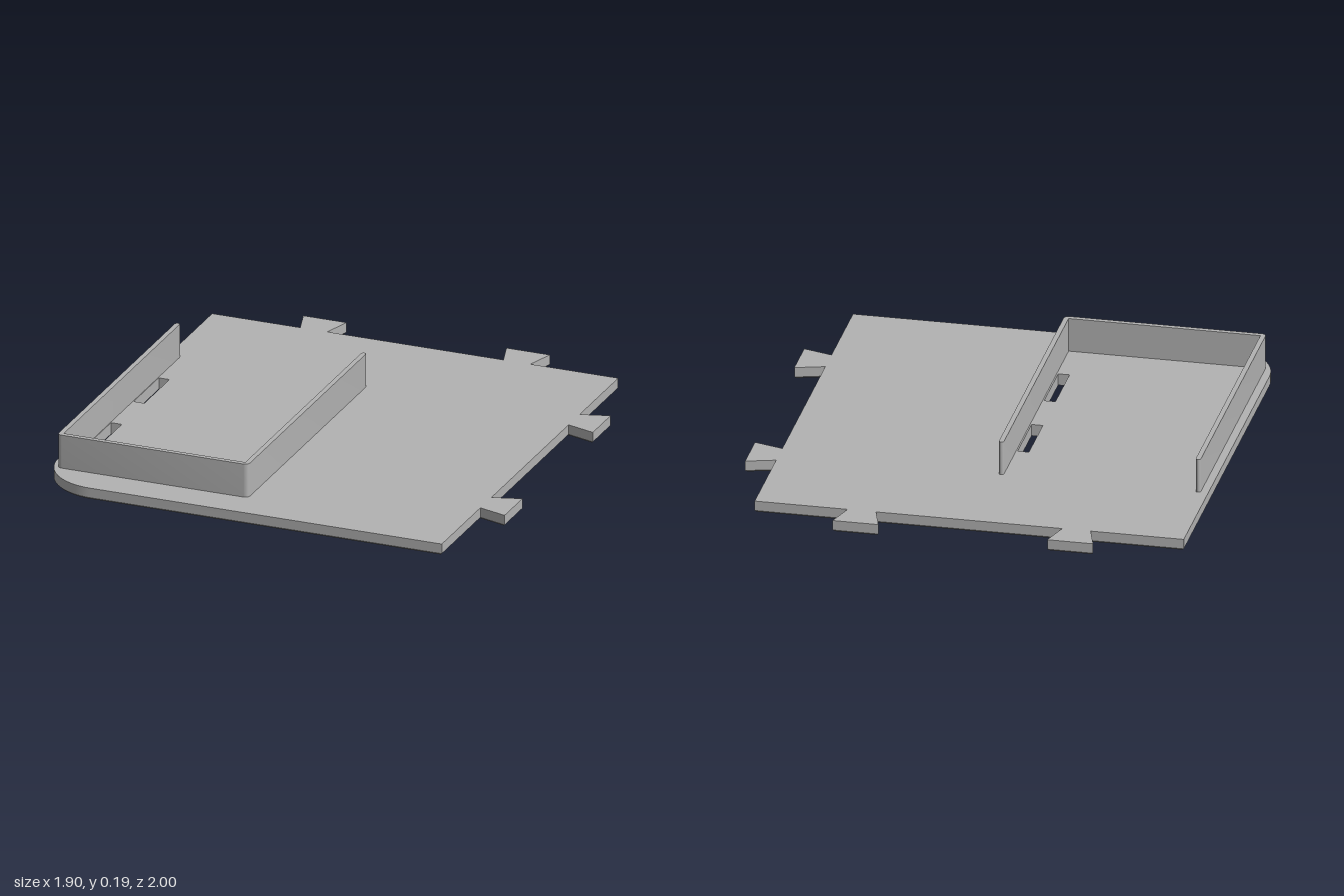
import * as THREE from 'three';
import { mergeGeometries, toCreasedNormals } from 'three/addons/utils/BufferGeometryUtils.js';

const TOP = 0.05, GROOVE = 0.025, CHAMFER = 0.008, WALL_TOP = 0.195;
const P = (x, z) => new THREE.Vector2(x, -z); // plan position; shapes are drawn with v = -z

const rect = (x0, x1, z0, z1) => [P(x0, z1), P(x1, z1), P(x1, z0), P(x0, z0)];

// Quarter-circle (or other) arc in plan, counter-clockwise seen from above
function arc(x, z, r, a0, a1, n) {
  return Array.from({ length: n + 1 }, (_, i) => {
    const a = a0 + (a1 - a0) * i / n;
    return P(x + r * Math.cos(a), z - r * Math.sin(a));
  });
}

// Moves every edge of a counter-clockwise loop inward by d
function inset(loop, d) {
  return loop.map((p, i) => {
    const e1 = p.clone().sub(loop.at(i - 1)).normalize();
    const e2 = loop[(i + 1) % loop.length].clone().sub(p).normalize();
    const n1 = new THREE.Vector2(-e1.y, e1.x), n2 = new THREE.Vector2(-e2.y, e2.x);
    return n1.clone().add(n2).multiplyScalar(d / (1 + n1.dot(n2))).add(p);
  });
}

// Band of side faces between two loops
function band(low, y0, high, y1) {
  const v = [];
  low.forEach((a, i) => {
    const j = (i + 1) % low.length, b = low[j], c = high[j], d = high[i];
    v.push(a.x, y0, -a.y, b.x, y0, -b.y, c.x, y1, -c.y);
    v.push(a.x, y0, -a.y, c.x, y1, -c.y, d.x, y1, -d.y);
  });
  return new THREE.BufferGeometry().setAttribute('position', new THREE.Float32BufferAttribute(v, 3));
}

// Flat face with holes, facing up or down
function cap(loop, holes, y, up) {
  const shape = new THREE.Shape(loop);
  holes.forEach(h => shape.holes.push(new THREE.Path(h)));
  const g = new THREE.ShapeGeometry(shape).rotateX(-Math.PI / 2).translate(0, y, 0);
  if (!up) g.index.array.reverse();
  const flat = g.toNonIndexed();
  flat.deleteAttribute('normal');
  flat.deleteAttribute('uv');
  return flat;
}

function plateGeometry() {
  const X0 = -0.952, X1 = 0.827, Z0 = -0.88, Z1 = 1, NECK = 0.059, TIP = 0.095;
  // Outline with dovetail tabs on the right and back edges
  const outline = [P(X1, Z1)];
  for (const z of [0.53, -0.41]) {
    outline.push(P(X1, z + NECK), P(0.948, z + TIP), P(0.948, z - TIP), P(X1, z - NECK));
  }
  outline.push(P(X1, Z0));
  for (const x of [0.383, -0.507]) {
    outline.push(P(x + NECK, Z0), P(x + TIP, -1), P(x - TIP, -1), P(x - NECK, Z0));
  }
  outline.push(P(X0, Z0), ...arc(X0 + 0.24, Z1 - 0.24, 0.24, Math.PI, Math.PI * 1.5, 16));

  const foot = inset(outline, CHAMFER);
  const parts = [band(foot, 0, outline, CHAMFER), band(outline, CHAMFER, outline, TOP)];

  // Strap slots, joined in pairs by grooves on the underside
  const slots = [], grooves = [];
  for (const [z0, z1] of [[-0.175, 0.093], [0.333, 0.602]]) {
    slots.push(rect(-0.896, -0.849, z0, z1), rect(-0.157, -0.11, z0, z1));
    grooves.push(rect(-0.896, -0.11, z0, z1));
    parts.push(cap(rect(-0.849, -0.157, z0, z1), [], GROOVE, false));
  }
  for (const s of slots) {
    const r = [...s].reverse();
    parts.push(band(r, GROOVE, r, TOP));
  }
  for (const g of grooves) {
    const r = [...g].reverse();
    parts.push(band(r, 0, r, GROOVE));
  }
  parts.push(cap(outline, slots, TOP, true), cap(foot, grooves, 0, false));
  return toCreasedNormals(mergeGeometries(parts), 0.5);
}

// U-shaped wall, open at the back, with rounded ends and corners
function wallGeometry() {
  const L = -0.92, R = -0.083, B = -0.415, F = 0.85, T = 0.021, r = 0.02, e = T / 2, h = Math.PI / 2;
  const loop = [
    ...arc(L + r, F - r, r, 2 * h, 3 * h, 6),
    ...arc(R - r, F - r, r, 3 * h, 4 * h, 6),
    ...arc(R - e, B + e, e, 0, 2 * h, 8),
    P(R - T, F - T), P(L + T, F - T),
    ...arc(L + e, B + e, e, 0, 2 * h, 8),
  ];
  const g = new THREE.ExtrudeGeometry(new THREE.Shape(loop), { depth: WALL_TOP - TOP, bevelEnabled: false });
  return toCreasedNormals(g.rotateX(-Math.PI / 2).translate(0, TOP, 0), 0.5);
}

export function createModel() {
  const gray = new THREE.MeshStandardMaterial({ color: 0xb3b3b3 });
  gray.name = 'gray';
  const group = new THREE.Group();
  group.name = 'dovetailTray';
  for (const [name, geometry] of [['basePlate', plateGeometry()], ['retainingWall', wallGeometry()]]) {
    const mesh = new THREE.Mesh(geometry, gray);
    mesh.name = name;
    group.add(mesh);
  }
  return group;
}
